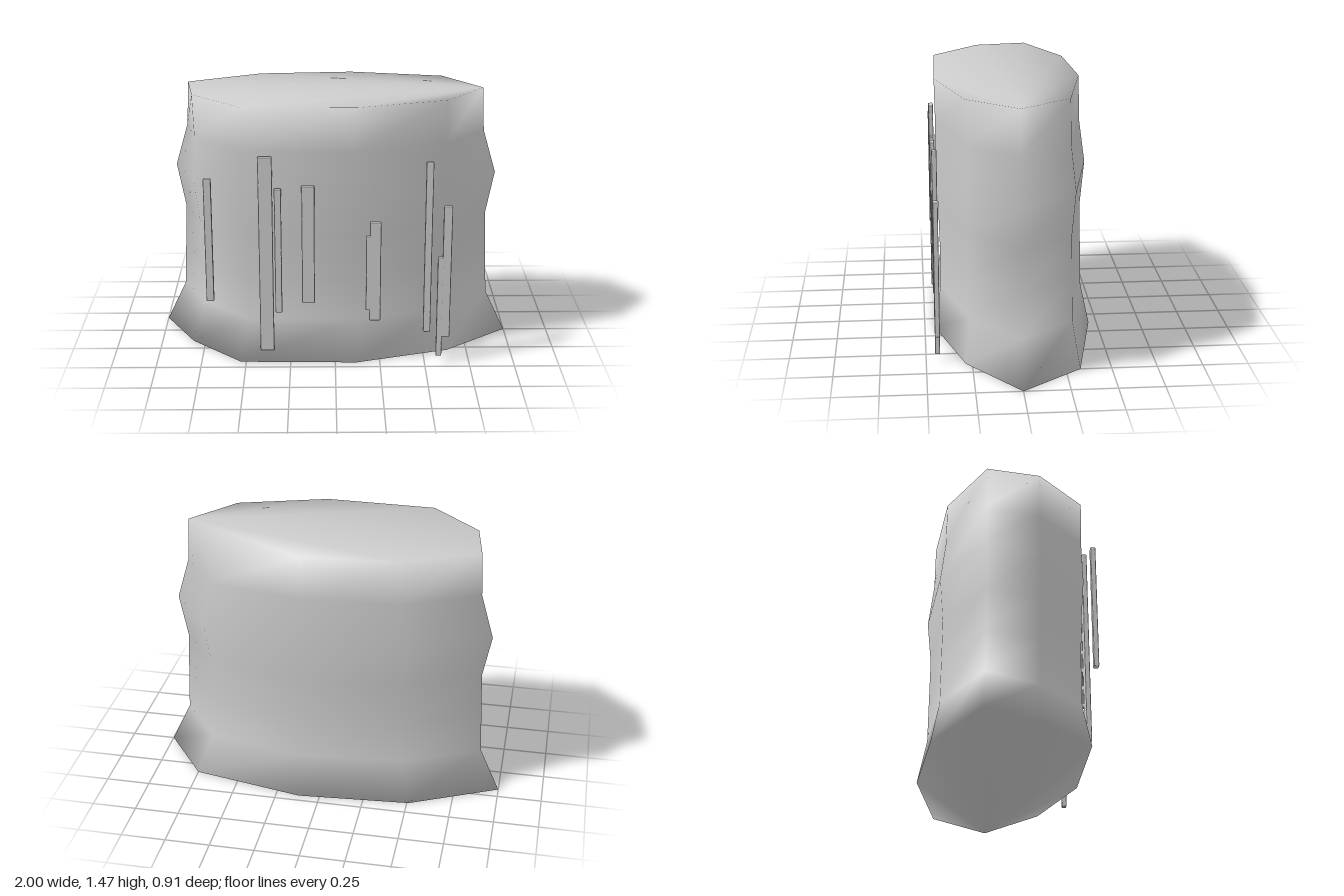
import * as THREE from 'three';
import { RoundedBoxGeometry } from 'three/addons/geometries/RoundedBoxGeometry.js';

const grey = () => new THREE.MeshStandardMaterial({ color: 0xcccccc });

// Nine-sided footprint [x, z]; the last four corners face the front
const footprint = [
  [1, 0], [0.75, -0.33], [0.12, -0.455], [-0.51, -0.41], [-1, -0.18],
  [-0.82, 0.15], [-0.53, 0.43], [0.12, 0.445], [0.64, 0.285],
];
// Rings from bottom to top: height, scale of back and sides, scale of front
const rings = [
  [0, 1, 1], [0.245, 0.885, 0.91], [0.49, 0.875, 0.91], [0.735, 0.865, 0.925],
  [0.98, 0.912, 0.96], [1.225, 0.84, 0.945], [1.472, 0.828, 0.955],
];

// Stump: irregular rings joined into a smooth closed body
function trunk() {
  const n = footprint.length;
  const positions = [];
  const index = [];
  for (const [y, side, front] of rings) {
    footprint.forEach(([x, z], i) => {
      const s = i >= 5 ? front : side;
      positions.push(x * s, y, z * s);
    });
  }
  for (let k = 0; k < rings.length - 1; k++) {
    for (let i = 0; i < n; i++) {
      const a = k * n + i;
      const b = k * n + ((i + 1) % n);
      index.push(a, b, b + n, a, b + n, a + n);
    }
  }
  // Flat caps
  const top = (rings.length - 1) * n;
  for (let i = 1; i < n - 1; i++) {
    index.push(top, top + i, top + i + 1);
    index.push(0, i + 1, i);
  }
  const geometry = new THREE.BufferGeometry();
  geometry.setAttribute('position', new THREE.Float32BufferAttribute(positions, 3));
  geometry.setIndex(index);
  geometry.computeVertexNormals();
  const mesh = new THREE.Mesh(geometry, grey());
  mesh.name = 'trunk';
  return mesh;
}

// Bark strips on the front: x from, x to, y from, y to
const strips = [
  [-0.71, -0.668, 0.378, 1.085], [-0.417, -0.34, 0.078, 1.205],
  [-0.331, -0.293, 0.308, 1.026], [-0.183, -0.113, 0.364, 1.042],
  [0.168, 0.21, 0.32, 0.755], [0.188, 0.25, 0.258, 0.836],
  [0.488, 0.528, 0.187, 1.176], [0.562, 0.594, 0.04, 0.63],
  [0.588, 0.636, 0.158, 0.925],
];

function barkStrips() {
  const group = new THREE.Group();
  group.name = 'barkStrips';
  for (const [x0, x1, y0, y1] of strips) {
    const geometry = new RoundedBoxGeometry(x1 - x0, y1 - y0, 0.027, 1, 0.005);
    const strip = new THREE.Mesh(geometry, grey());
    strip.position.set((x0 + x1) / 2, (y0 + y1) / 2, 0.437);
    strip.name = 'barkStrip';
    group.add(strip);
  }
  return group;
}

export function createModel() {
  const model = new THREE.Group();
  model.name = 'treeStump';
  model.add(trunk(), barkStrips());
  return model;
}
